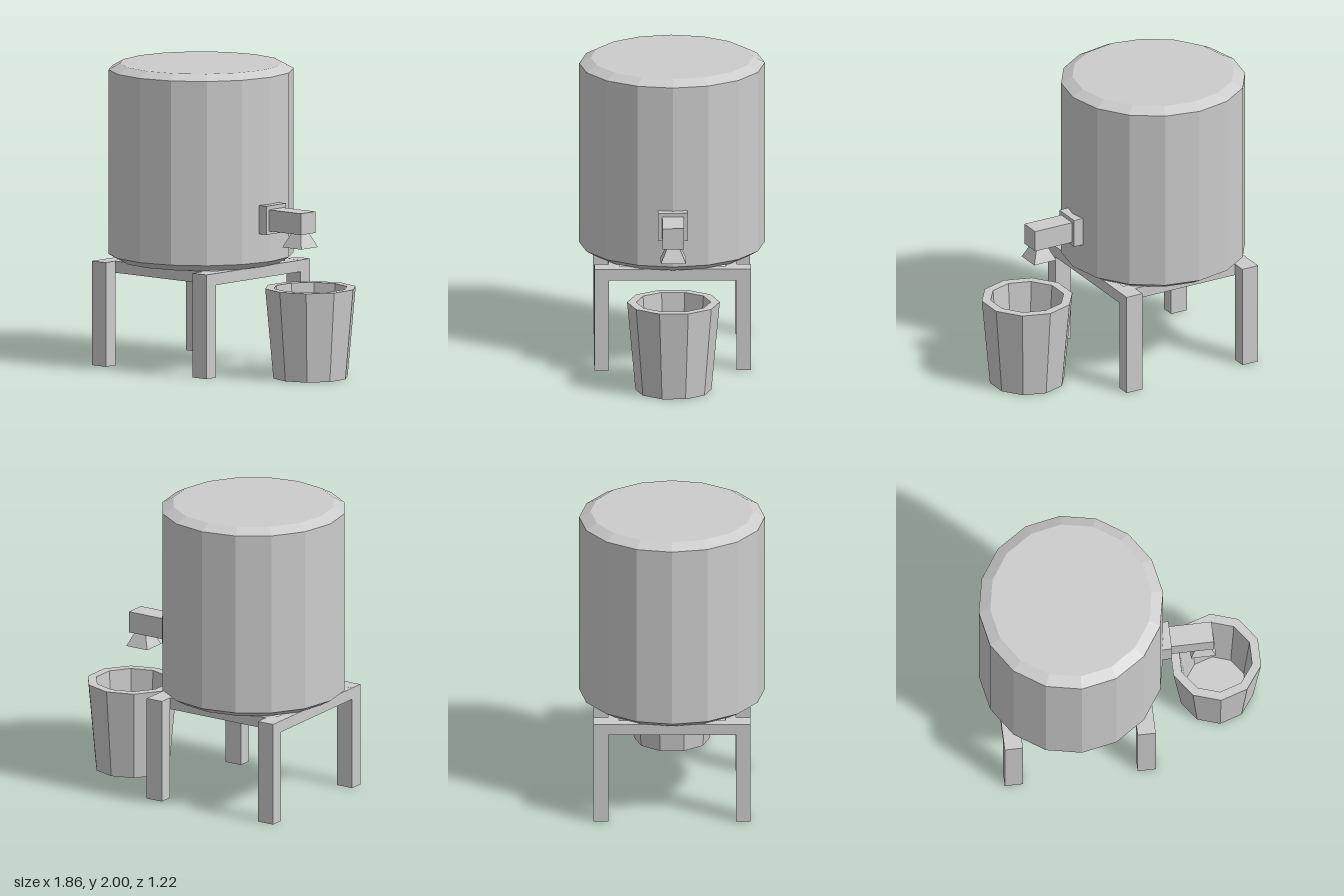
import * as THREE from 'three';

const material = new THREE.MeshStandardMaterial({ color: 0xcccccc, flatShading: true });

function add(parent, name, geometry, x = 0, y = 0, z = 0) {
  const mesh = new THREE.Mesh(geometry, material);
  mesh.name = name;
  mesh.position.set(x, y, z);
  parent.add(mesh);
  return mesh;
}

// Box given by its extents on each axis
function addBox(parent, name, [x0, x1], [y0, y1], [z0, z1]) {
  return add(parent, name, new THREE.BoxGeometry(x1 - x0, y1 - y0, z1 - z0),
    (x0 + x1) / 2, (y0 + y1) / 2, (z0 + z1) / 2);
}

// Faceted turned shape from [radius, height] pairs, running from bottom to top on the outside
function turned(points, sides) {
  return new THREE.LatheGeometry(points.map(([r, y]) => new THREE.Vector2(r, y)), sides);
}

export function createModel() {
  const model = new THREE.Group();
  model.name = 'waterTankWithBucket';
  const tankX = -0.32;

  // Tank with bevelled top and bottom rims
  add(model, 'tank', turned(
    [[0, 0.693], [0.535, 0.693], [0.61, 0.737], [0.61, 1.96], [0.535, 2], [0, 2]], 16), tankX);

  // Stand: four legs joined by rails under the tank
  const stand = new THREE.Group();
  stand.name = 'stand';
  stand.position.x = tankX;
  model.add(stand);
  for (const sx of [-1, 1]) {
    for (const sz of [-1, 1]) {
      add(stand, 'leg', new THREE.BoxGeometry(0.12, 0.692, 0.096), sx * 0.44, 0.346, sz * 0.467);
    }
    add(stand, 'sideRail', new THREE.BoxGeometry(0.07, 0.077, 0.84), sx * 0.465, 0.653, 0);
  }
  for (const sz of [-1, 1]) {
    add(stand, 'crossRail', new THREE.BoxGeometry(0.86, 0.077, 0.07), 0, 0.653, sz * 0.385);
  }

  // Tap: flange, square pipe and flared nozzle
  const tap = new THREE.Group();
  tap.name = 'tap';
  model.add(tap);
  addBox(tap, 'flange', [0.27, 0.337], [0.928, 1.118], [-0.097, 0.097]);
  addBox(tap, 'pipe', [0.3, 0.618], [0.95, 1.092], [-0.071, 0.071]);
  const nozzle = new THREE.CylinderGeometry(0.04 * Math.SQRT2, 0.083 * Math.SQRT2, 0.095, 4);
  nozzle.rotateY(Math.PI / 4);
  add(tap, 'nozzle', nozzle, 0.548, 0.9035, 0);

  // Open bucket with a thick wall and an inner floor
  add(model, 'bucket', turned(
    [[0, 0], [0.25, 0], [0.305, 0.597], [0.245, 0.597], [0.203, 0.05], [0, 0.05]], 10), 0.638);

  return model;
}
